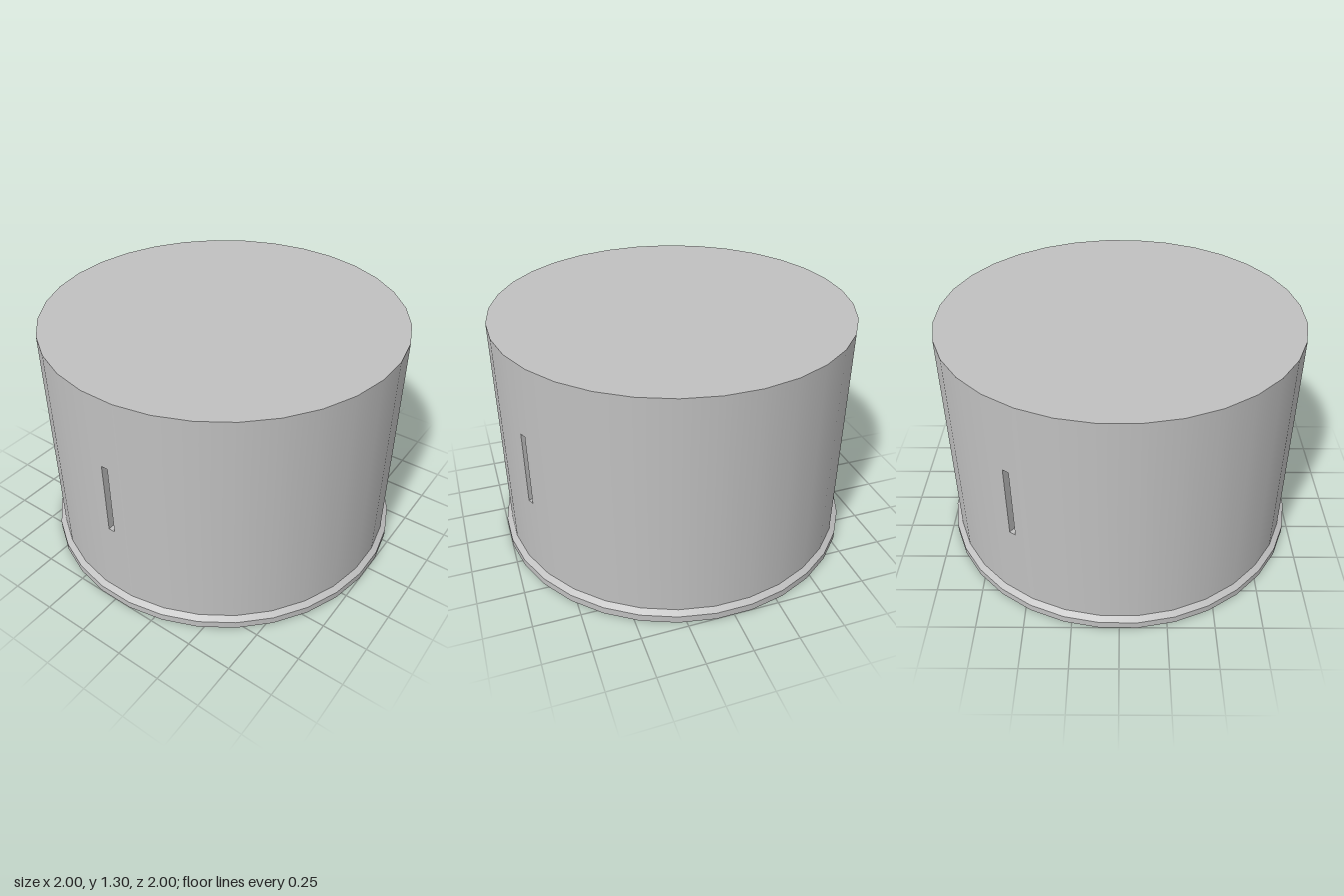
import * as THREE from 'three';
import { mergeGeometries } from 'three/addons/utils/BufferGeometryUtils.js';

const SIDES = 32;
const STEP = (Math.PI * 2) / SIDES;
const BODY = 0.97, FLANGE = 1.0; // distance from the axis to the flat of a facet
const Y0 = 0.06, Y1 = 1.305;
const SLOT = { w: 0.037, y0: 0.49, y1: 0.9, depth: 0.1 };
const SLOT_FACETS = [0, 10, 21]; // about a third of a turn apart

const corner = (flat) => flat / Math.cos(STEP / 2);

function rectangle(path, x0, y0, x1, y1) {
  path.moveTo(x0, y0).lineTo(x1, y0).lineTo(x1, y1).lineTo(x0, y1).closePath();
  return path;
}

// One flat of the wall, with smooth normals pointing away from the axis
function facet(index) {
  const half = BODY * Math.tan(STEP / 2);
  const shape = rectangle(new THREE.Shape(), -half, Y0, half, Y1);
  if (SLOT_FACETS.includes(index)) {
    shape.holes.push(rectangle(new THREE.Path(), -SLOT.w / 2, SLOT.y0, SLOT.w / 2, SLOT.y1));
  }
  const g = new THREE.ShapeGeometry(shape).translate(0, 0, BODY);
  const p = g.attributes.position, n = g.attributes.normal;
  for (let i = 0; i < p.count; i++) {
    const r = Math.hypot(p.getX(i), p.getZ(i));
    n.setXYZ(i, p.getX(i) / r, 0, p.getZ(i) / r);
  }
  return g.rotateY(index * STEP);
}

// Inner faces of a slot: back, two cheeks, floor and ceiling
function recess(index) {
  const { w, y0, y1, depth } = SLOT;
  const h = y1 - y0, cy = (y0 + y1) / 2, cz = BODY - depth / 2;
  return mergeGeometries([
    new THREE.PlaneGeometry(w, h).translate(0, cy, BODY - depth),
    new THREE.PlaneGeometry(depth, h).rotateY(Math.PI / 2).translate(-w / 2, cy, cz),
    new THREE.PlaneGeometry(depth, h).rotateY(-Math.PI / 2).translate(w / 2, cy, cz),
    new THREE.PlaneGeometry(w, depth).rotateX(-Math.PI / 2).translate(0, y0, cz),
    new THREE.PlaneGeometry(w, depth).rotateX(Math.PI / 2).translate(0, y1, cz),
  ]).rotateY(index * STEP);
}

export function createModel() {
  const group = new THREE.Group();
  group.name = 'slottedDrum';
  const grey = new THREE.MeshStandardMaterial({ color: 0xc0c0c0 });
  grey.name = 'grey';

  const add = (name, geometry) => {
    const mesh = new THREE.Mesh(geometry, grey);
    mesh.name = name;
    group.add(mesh);
  };

  // Drum wall and lid
  add('wall', mergeGeometries(Array.from({ length: SIDES }, (_, i) => facet(i))));
  add('lid', new THREE.CircleGeometry(corner(BODY), SIDES, STEP / 2)
    .rotateX(-Math.PI / 2).translate(0, Y1, 0));

  // Vertical slots
  SLOT_FACETS.forEach((f, i) => add(`slot${i + 1}`, recess(f)));

  // Base flange and its sloping upper edge
  add('flange', new THREE.CylinderGeometry(corner(FLANGE), corner(FLANGE), 0.04, SIDES, 1, false, STEP / 2)
    .translate(0, 0.02, 0));
  add('flangeBevel', new THREE.CylinderGeometry(corner(BODY), corner(FLANGE), 0.02, SIDES, 1, true, STEP / 2)
    .translate(0, 0.05, 0));

  return group;
}
